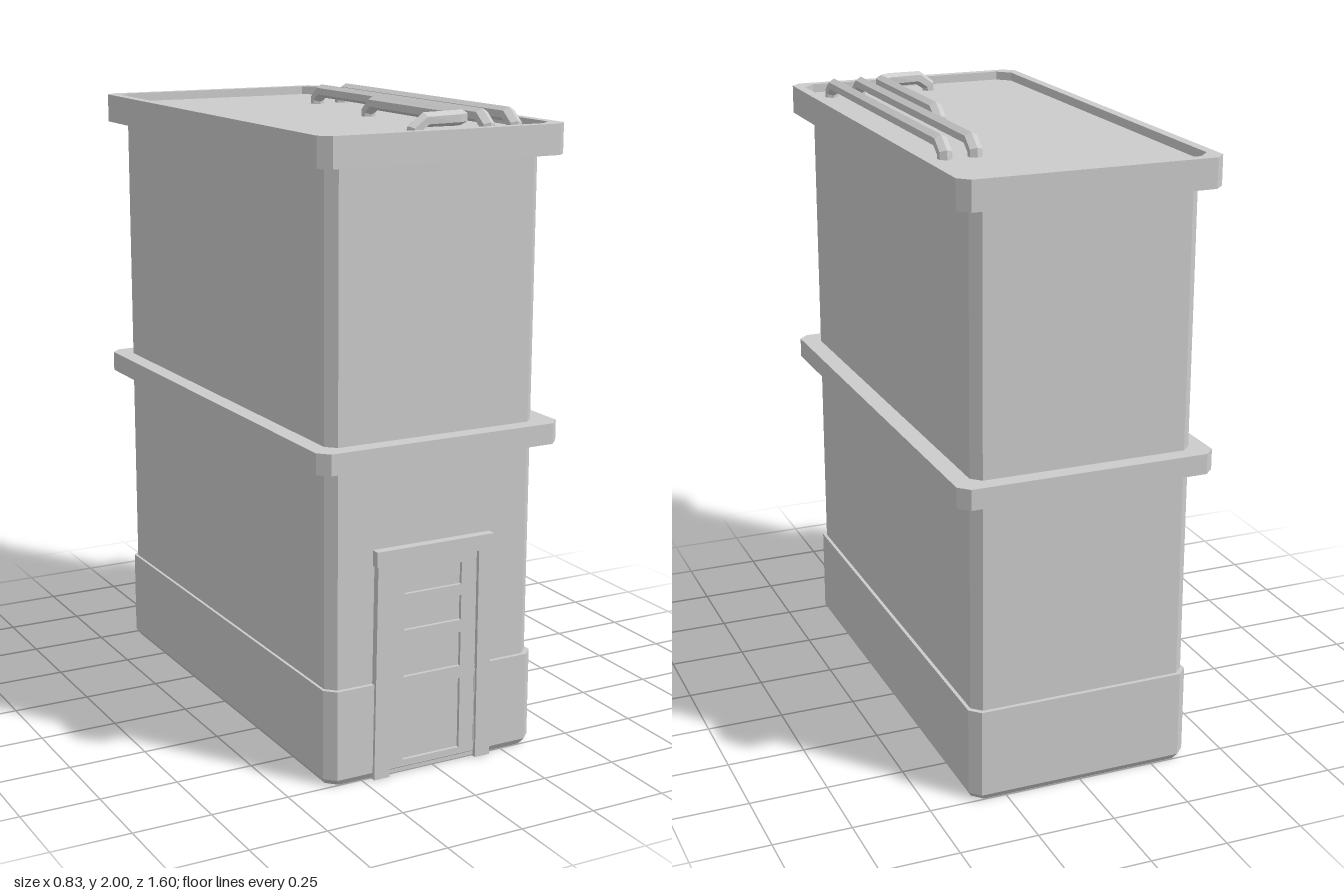
import * as THREE from 'three';

const grey = new THREE.MeshStandardMaterial({ color: 0xcccccc, flatShading: true });

function add(group, name, geometry) {
  const mesh = new THREE.Mesh(geometry, grey);
  mesh.name = name;
  group.add(mesh);
  return mesh;
}

// Plan points (x, -z) of a rectangle with cut corners, starting at the front edge
function cutRect(hx, hz, c) {
  return [[-hx + c, -hz], [hx - c, -hz], [hx, -hz + c], [hx, hz - c],
    [hx - c, hz], [-hx + c, hz], [-hx, hz - c], [-hx, -hz + c]]
    .map(([x, y]) => new THREE.Vector2(x, y));
}

// Raise a plan outline from y0 to y1
function slab(points, y0, y1, hole) {
  const shape = new THREE.Shape(points);
  if (hole) shape.holes.push(new THREE.Path(hole));
  return new THREE.ExtrudeGeometry(shape, { depth: y1 - y0, bevelEnabled: false })
    .rotateX(-Math.PI / 2).translate(0, y0, 0);
}

function rectPath(x0, x1, y0, y1) {
  return [[x0, y0], [x1, y0], [x1, y1], [x0, y1]].map(([x, y]) => new THREE.Vector2(x, y));
}

// Six-sided pipe with mitred bends along a list of points
function pipe(points, radius, firstSide) {
  const sides = 6, pos = [], index = [];
  const pts = points.map((p) => new THREE.Vector3(...p));
  const side = firstSide.clone();
  pts.forEach((p, i) => {
    const a = p.clone().sub(pts[Math.max(i - 1, 0)]).normalize();
    const b = pts[Math.min(i + 1, pts.length - 1)].clone().sub(p).normalize();
    const t = a.add(b).normalize();
    side.addScaledVector(t, -side.dot(t)).normalize();
    const up = t.clone().cross(side);
    for (let k = 0; k < sides; k++) {
      const ang = Math.PI / 2 + (k / sides) * Math.PI * 2;
      const v = p.clone().addScaledVector(side, radius * Math.cos(ang))
        .addScaledVector(up, radius * Math.sin(ang));
      pos.push(v.x, v.y, v.z);
      if (i > 0) {
        const n = (k + 1) % sides, r0 = (i - 1) * sides, r1 = i * sides;
        index.push(r0 + k, r0 + n, r1 + n, r0 + k, r1 + n, r1 + k);
      }
    }
  });
  const g = new THREE.BufferGeometry();
  g.setAttribute('position', new THREE.Float32BufferAttribute(pos, 3));
  g.setIndex(index);
  g.computeVertexNormals();
  return g;
}

export function createModel() {
  const model = new THREE.Group();
  model.name = 'building';

  // Main walls
  add(model, 'walls', slab(cutRect(0.358, 0.746, 0.03), 0.01, 1.9)).position.x = -0.003;

  // Plinth with a gap for the door, on a foot that narrows to the ground
  const plan = cutRect(0.368, 0.759, 0.032);
  const gap = [[-0.163, -0.759], [-0.163, -0.74], [0.145, -0.74], [0.145, -0.759]]
    .map(([x, y]) => new THREE.Vector2(x, y));
  add(model, 'plinth', slab([plan[0], ...gap, ...plan.slice(1)], 0.02, 0.305)).position.x = -0.002;
  const foot = slab(plan, 0, 0.02);
  const fp = foot.attributes.position;
  for (let i = 0; i < fp.count; i++) {
    if (fp.getY(i) < 0.01) fp.setXYZ(i, fp.getX(i) * 0.965, 0, fp.getZ(i) * 0.983);
  }
  add(model, 'foot', foot).position.x = -0.002;

  // Band between the floors
  add(model, 'floorBand', slab(cutRect(0.415, 0.8, 0.033), 0.99, 1.055));

  // Roof: raised rim around a sunken deck
  const inner = cutRect(0.38, 0.767, 0.04);
  add(model, 'roofRim', slab(cutRect(0.412, 0.8, 0.033), 1.868, 1.96, inner));
  add(model, 'roofDeck', slab(inner, 1.868, 1.932));

  // Door frame
  const door = new THREE.Group();
  door.name = 'door';
  model.add(door);
  const jambs = [
    [[-0.216, 0], [-0.163, 0], [-0.163, 0.69], [-0.207, 0.69]],
    [[0.145, 0], [0.198, 0], [0.189, 0.69], [0.145, 0.69]],
  ];
  jambs.forEach((points, i) => {
    const shape = new THREE.Shape(points.map(([x, y]) => new THREE.Vector2(x, y)));
    const g = new THREE.ExtrudeGeometry(shape, { depth: 0.03, bevelEnabled: false });
    add(door, i ? 'leftJamb' : 'rightJamb', g).position.z = 0.74;
  });
  add(door, 'lintel', new THREE.BoxGeometry(0.408, 0.048, 0.036)).position.set(-0.009, 0.703, 0.757);

  // Door leaf with four sunken panels
  const leaf = new THREE.Shape(rectPath(-0.163, 0.145, 0.005, 0.68));
  for (const [y0, y1] of [[0.04, 0.27], [0.31, 0.42], [0.46, 0.54], [0.575, 0.645]]) {
    leaf.holes.push(new THREE.Path(rectPath(-0.11, 0.092, y0, y1)));
  }
  add(door, 'doorLeaf', new THREE.ExtrudeGeometry(leaf, { depth: 0.016, bevelEnabled: false }))
    .position.z = 0.741;

  // Roof pipes, bending down into the deck at both ends
  const top = 1.977, r = 0.023, X = new THREE.Vector3(1, 0, 0);
  for (const x of [0.21, 0.305]) {
    add(model, 'straightPipe', pipe([
      [x, 1.91, -0.405], [x, 1.95, -0.403], [x, top, -0.368],
      [x, top, 0.63], [x, 1.95, 0.665], [x, 1.91, 0.667],
    ], r, X));
  }
  add(model, 'bentPipe', pipe([
    [0.138, 1.91, 0.08], [0.138, 1.95, 0.082], [0.138, top, 0.117],
    [0.138, top, 0.63], [0.128, top, 0.648], [0.105, top, 0.66],
    [-0.005, top, 0.666], [-0.043, 1.95, 0.668], [-0.045, 1.91, 0.668],
  ], r, X));

  return model;
}
